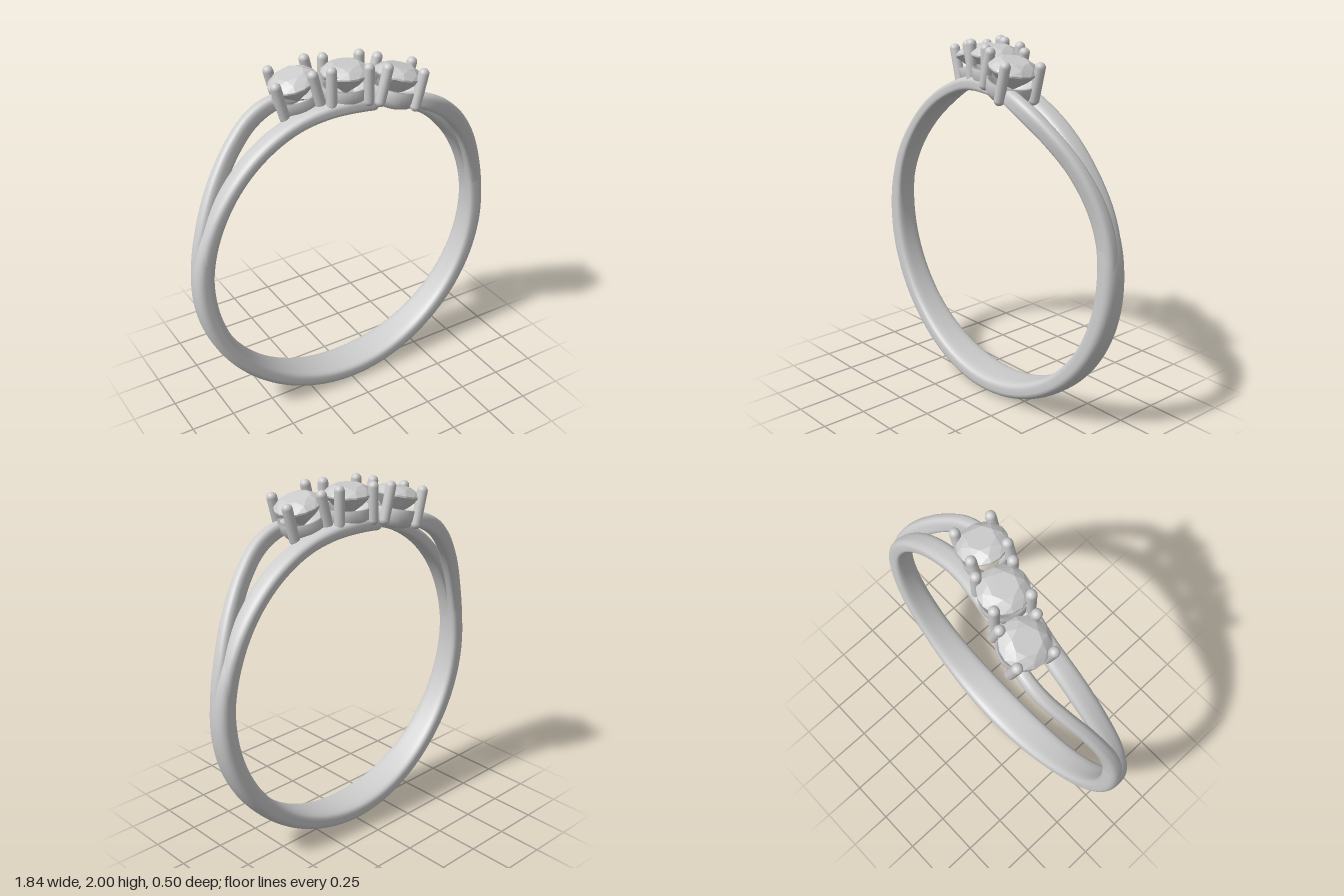
import * as THREE from 'three';
import { ConvexGeometry } from 'three/addons/geometries/ConvexGeometry.js';

const CENTRE_Y = 0.92;
const material = new THREE.MeshStandardMaterial({ color: 0xcccccc });
const flatMaterial = new THREE.MeshStandardMaterial({ color: 0xcccccc, flatShading: true });
const openMaterial = new THREE.MeshStandardMaterial({ color: 0xcccccc, side: THREE.DoubleSide });

// Band swept round the finger hole.
// keys: [degrees from top towards +x, mid radius, z, half width, half thickness]
function sweptBand(keys, steps, capDegrees) {
  const curve = new THREE.CubicInterpolant(
    keys.map(k => k[0]), keys.flatMap(k => k.slice(1)), 4, new Float32Array(4));
  const first = keys[0][0], last = keys[keys.length - 1][0];
  const sides = 28, positions = [], index = [];
  const power = (v, e) => Math.sign(v) * Math.abs(v) ** e;
  for (let i = 0; i <= steps; i++) {
    const deg = first + (last - first) * (1 - Math.cos(Math.PI * i / steps)) / 2;
    const [radius, z, halfWidth, halfThick] = curve.evaluate(deg);
    // rounded ends
    const end = Math.min(1, Math.min(deg - first, last - deg) / capDegrees);
    const scale = Math.max(0.01, Math.sqrt(Math.max(0, 1 - (1 - end) ** 2)));
    const phi = THREE.MathUtils.degToRad(deg);
    for (let j = 0; j < sides; j++) {
      const a = 2 * Math.PI * (j + 0.5) / sides;
      // flatter on the finger side, softly rounded outside
      const e = Math.sin(a) < 0 ? 0.5 : 0.75;
      const r = radius + scale * halfThick * power(Math.sin(a), e);
      positions.push(r * Math.sin(phi), CENTRE_Y + r * Math.cos(phi),
        z + scale * halfWidth * power(Math.cos(a), e));
      if (i < steps) {
        const k = (j + 1) % sides, p = i * sides, q = p + sides;
        index.push(p + j, q + j, q + k, p + j, q + k, p + k);
      }
    }
  }
  const geometry = new THREE.BufferGeometry();
  geometry.setAttribute('position', new THREE.Float32BufferAttribute(positions, 3));
  geometry.setIndex(index);
  geometry.computeVertexNormals();
  return geometry;
}

// Round faceted gem: table, crown, thin girdle, pavilion
function gemGeometry() {
  const points = [new THREE.Vector3(0, 0.885, 0)];
  const ring = (n, r, y, turn) => {
    for (let i = 0; i < n; i++) {
      const a = 2 * Math.PI * (i + turn) / n;
      points.push(new THREE.Vector3(r * Math.cos(a), y, r * Math.sin(a)));
    }
  };
  ring(8, 0.072, 1.053, 0);
  ring(8, 0.105, 1.037, 0.5);
  ring(16, 0.129, 1.013, 0);
  ring(16, 0.129, 1.004, 0);
  ring(8, 0.085, 0.955, 0.5);
  return new ConvexGeometry(points);
}

// Open tapered basket under a gem
function cupGeometry() {
  const profile = [[0.055, 0.86], [0.075, 0.84], [0.1, 0.85], [0.122, 0.885],
    [0.126, 0.94], [0.112, 0.942], [0.1, 0.91], [0.055, 0.86]];
  return new THREE.LatheGeometry(profile.map(p => new THREE.Vector2(...p)), 32);
}

export function createModel() {
  const ring = new THREE.Group();
  ring.name = 'ring';
  const add = (parent, name, geometry, mat = material) => {
    const mesh = new THREE.Mesh(geometry, mat);
    mesh.name = name;
    parent.add(mesh);
    return mesh;
  };

  // Lower band, widest at the bottom
  add(ring, 'shank', sweptBand([
    [64, 0.86, 0, 0.04, 0.03], [76, 0.865, 0, 0.06, 0.045],
    [90, 0.867, 0, 0.067, 0.052], [135, 0.867, 0, 0.088, 0.052],
    [180, 0.867, 0, 0.11, 0.053], [225, 0.867, 0, 0.088, 0.052],
    [270, 0.867, 0, 0.067, 0.052], [284, 0.865, 0, 0.06, 0.045],
    [296, 0.86, 0, 0.04, 0.03]], 120, 3));

  // Split shoulders: one strand sweeps out, the other passes beside the gems
  const outer = sweptBand([
    [12, 0.885, 0.145, 0.03, 0.03], [22, 0.905, 0.182, 0.035, 0.042],
    [30, 0.905, 0.18, 0.036, 0.045], [40, 0.895, 0.145, 0.037, 0.045],
    [52, 0.885, 0.092, 0.038, 0.045], [70, 0.872, 0.032, 0.042, 0.047],
    [90, 0.867, 0.012, 0.045, 0.048]], 60, 3);
  const inner = sweptBand([
    [-9, 0.855, -0.105, 0.033, 0.034], [0, 0.855, -0.08, 0.042, 0.037],
    [10, 0.853, -0.042, 0.05, 0.037], [20, 0.85, -0.012, 0.055, 0.036],
    [35, 0.85, 0, 0.058, 0.036], [52, 0.851, -0.002, 0.056, 0.037],
    [70, 0.858, -0.016, 0.048, 0.042], [90, 0.863, -0.012, 0.05, 0.046]], 70, 2.5);
  for (const side of ['left', 'right']) {
    const shoulder = new THREE.Group();
    shoulder.name = side + 'Shoulder';
    shoulder.rotation.y = side === 'left' ? 0 : Math.PI;
    add(shoulder, 'outerStrand', outer);
    add(shoulder, 'innerStrand', inner);
    ring.add(shoulder);
  }

  // Three gems in a diagonal row, each tilted to follow the band
  const gem = gemGeometry(), cup = cupGeometry();
  const prong = new THREE.CapsuleGeometry(0.028, 0.174, 6, 12);
  [['rightSetting', -1], ['centreSetting', 0], ['leftSetting', 1]].forEach(([name, s]) => {
    const setting = new THREE.Group();
    setting.name = name;
    setting.position.set(0, CENTRE_Y, s * 0.1);
    setting.rotation.z = -s * THREE.MathUtils.degToRad(14.5);
    add(setting, 'gem', gem, flatMaterial);
    add(setting, 'cup', cup, openMaterial);
    for (let i = 0; i < 4; i++) {
      const a = Math.PI * (i / 2 + 0.345);
      add(setting, 'prong', prong)
        .position.set(0.136 * Math.cos(a), 0.965, 0.136 * Math.sin(a));
    }
    ring.add(setting);
  });
  return ring;
}
